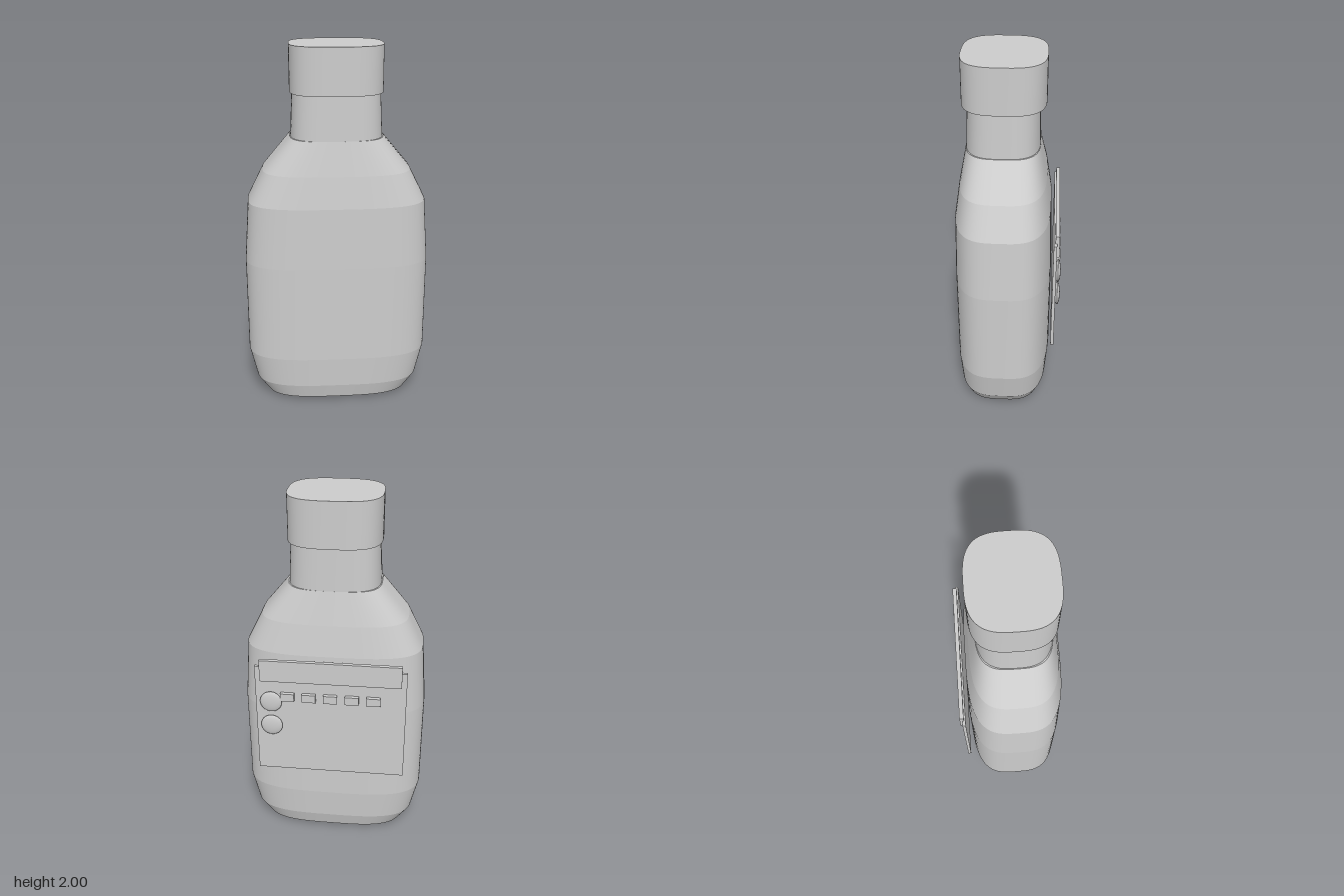
import * as THREE from 'three';

const SEG = 96;

// One point of a rounded-rectangle (superellipse) ring
function ringPoint(i, [y, halfW, halfD, cz], power) {
  const t = (i / SEG) * Math.PI * 2;
  const f = (v) => Math.sign(v) * Math.pow(Math.abs(v), 2 / power);
  return [halfW * f(Math.cos(t)), y, cz + halfD * f(Math.sin(t))];
}

// Loft through [y, halfWidth, halfDepth, centreZ] rings: smooth around, creased between bands
function loft(rings, power) {
  const pos = [], index = [];
  const addRing = (r) => {
    const start = pos.length / 3;
    for (let i = 0; i < SEG; i++) pos.push(...ringPoint(i, r, power));
    return start;
  };
  for (let k = 0; k < rings.length - 1; k++) {
    const lo = addRing(rings[k]), hi = addRing(rings[k + 1]);
    for (let i = 0; i < SEG; i++) {
      const j = (i + 1) % SEG;
      index.push(lo + i, hi + i, lo + j, lo + j, hi + i, hi + j);
    }
  }
  // Flat end faces
  [rings[0], rings[rings.length - 1]].forEach((r, end) => {
    const s = addRing(r), c = pos.length / 3;
    pos.push(0, r[0], r[3]);
    for (let i = 0; i < SEG; i++) {
      const j = (i + 1) % SEG;
      if (end) index.push(c, s + j, s + i);
      else index.push(c, s + i, s + j);
    }
  });
  const g = new THREE.BufferGeometry();
  g.setAttribute('position', new THREE.Float32BufferAttribute(pos, 3));
  g.setIndex(index);
  g.computeVertexNormals();
  return g;
}

export function createModel() {
  const model = new THREE.Group();
  model.name = 'bottle';
  const grey = new THREE.MeshStandardMaterial({ color: 0xcccccc });
  grey.name = 'light grey';

  const add = (name, geometry, x = 0, y = 0, z = 0) => {
    const mesh = new THREE.Mesh(geometry, grey);
    mesh.name = name;
    mesh.position.set(x, y, z);
    model.add(mesh);
    return mesh;
  };

  // Bottle body with tapered foot and sloping shoulders
  add('body', loft([
    [0.02, 0.41, 0.23, 0.028],
    [0.105, 0.47, 0.253, 0.026],
    [0.28, 0.51, 0.265, 0.025],
    [0.83, 0.51, 0.265, 0.025],
    [1.17, 0.485, 0.257, 0.027],
    [1.34, 0.4, 0.232, 0.028],
    [1.52, 0.25, 0.196, 0.03],
  ], 3.3));

  // Neck and cap
  add('neck', loft([[1.515, 0.246, 0.196, 0.03], [1.76, 0.235, 0.188, 0.028]], 3));
  add('cap', loft([[1.755, 0.248, 0.22, 0.026], [2, 0.248, 0.22, 0.026]], 3));

  // Small nub under the base
  add('baseNub', new THREE.CylinderGeometry(0.014, 0.014, 0.03, 16), 0, 0.015, 0.03);

  // Back panel with its header strip
  add('backPanel', new THREE.BoxGeometry(0.82, 0.655, 0.017), 0, 0.785, -0.257);
  add('headerStrip', new THREE.BoxGeometry(0.764, 0.125, 0.022), 0, 1.092, -0.268);

  // Row of buttons
  for (let i = -2; i <= 2; i++) {
    add('button', new THREE.BoxGeometry(0.075, 0.046, 0.024), i * 0.117, 0.938, -0.275);
  }

  // Two domed knobs
  for (const y of [0.904, 0.755]) {
    const knob = add('knob', new THREE.SphereGeometry(1, 32, 16), 0.325, y, -0.276);
    knob.scale.set(0.06, 0.062, 0.015);
  }

  return model;
}
